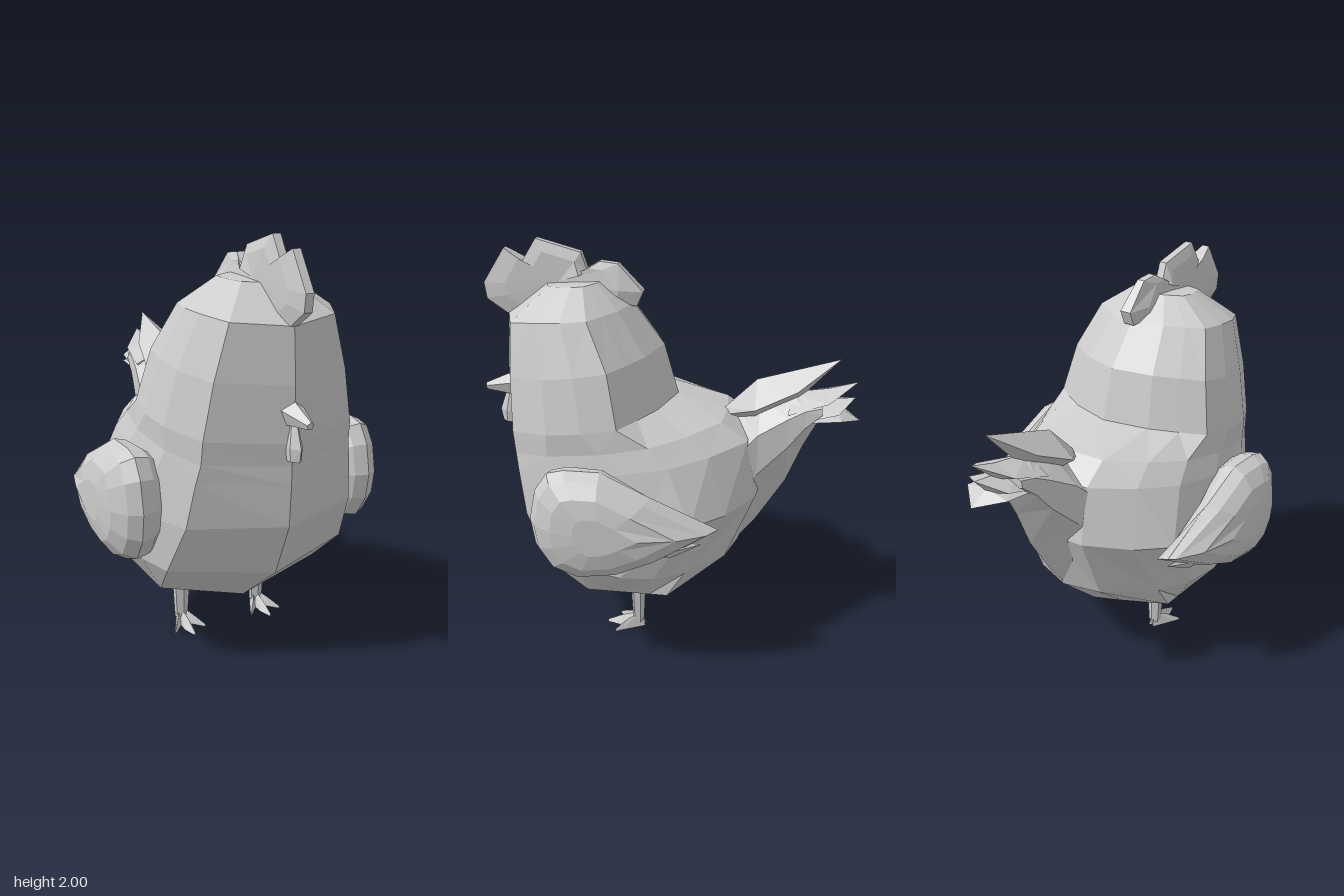
import * as THREE from 'three';

const plumage = new THREE.MeshStandardMaterial({ color: 0xcccccc });
plumage.name = 'pale grey';

// Faceted closed surface through rings of [x, y, z] points; always faces outward
function loft(rings) {
  const tris = [], n = rings[0].length;
  const centre = r => [0, 1, 2].map(k => r.reduce((s, p) => s + p[k], 0) / n);
  const first = rings[0], last = rings[rings.length - 1];
  const c0 = centre(first), c1 = centre(last);
  for (let j = 0; j < n; j++) {
    const k = (j + 1) % n;
    tris.push([c0, first[k], first[j]], [c1, last[j], last[k]]);
    for (let i = 0; i + 1 < rings.length; i++) {
      const a = rings[i], b = rings[i + 1];
      // Mirror the diagonals between the two halves
      if (j < n / 2) tris.push([a[j], a[k], b[j]], [a[k], b[k], b[j]]);
      else tris.push([a[j], a[k], b[k]], [a[j], b[k], b[j]]);
    }
  }
  const v = p => new THREE.Vector3(...p);
  let volume = 0;
  const kept = tris.map(t => t.map(v)).filter(([a, b, c]) => {
    volume += a.dot(b.clone().cross(c));
    return b.clone().sub(a).cross(c.clone().sub(a)).length() > 1e-7;
  });
  const points = kept.flatMap(([a, b, c]) => (volume < 0 ? [a, c, b] : [a, b, c]));
  return new THREE.BufferGeometry().setFromPoints(points);
}

function add(parent, name, geometry) {
  const g = geometry.index ? geometry.toNonIndexed() : geometry;
  g.computeVertexNormals();
  const mesh = new THREE.Mesh(g, plumage);
  mesh.name = name;
  parent.add(mesh);
  return mesh;
}

// Body and head: horizontal rings following a half-outline [width factor, front-to-back factor]
function bodyGeometry() {
  const whole = half => [...half, ...half.slice(1, -1).reverse().map(([x, t]) => [-x, t])];
  const head = whole([[0, 0], [0.77, 0.14], [0.97, 0.36], [1, 0.55], [0.95, 0.74], [0.72, 0.83], [0.46, 0.92], [0, 1]]);
  const shoulder = whole([[0, 0], [0.77, 0.11], [0.95, 0.27], [1, 0.5], [0.92, 0.7], [0.7, 0.85], [0.38, 0.985], [0, 1]]);
  const trunk = whole([[0, 0], [0.77, 0.125], [0.94, 0.28], [1, 0.6], [0.965, 0.765], [0.74, 0.88], [0.36, 0.985], [0, 1]]);
  const hip = whole([[0, 0], [0.84, 0.16], [0.95, 0.3], [1, 0.5], [0.93, 0.65], [0.76, 0.78], [0.35, 0.95], [0, 1]]);
  const belly = whole([[0, 0], [1, 0.08], [1, 0.2], [1, 0.45], [1, 0.68], [1, 0.85], [0.4, 0.95], [0, 1]]);
  // outline; y at front, side, back; z at front, back; half width
  const rows = [
    [head, 1.79, 1.8, 1.81, 0.6, 0.31, 0.16],
    [head, 1.63, 1.67, 1.7, 0.8, 0.17, 0.34],
    [head, 1.38, 1.42, 1.5, 0.82, 0.02, 0.43],
    [head, 1.12, 1.17, 1.25, 0.82, -0.05, 0.49],
    [shoulder, 1.02, 1.07, 1.18, 0.81, -0.3, 0.495],
    [shoulder, 0.93, 0.98, 1.09, 0.81, -0.43, 0.52],
    [trunk, 0.73, 0.75, 0.8, 0.8, -0.48, 0.56],
    [hip, 0.46, 0.52, 0.44, 0.69, -0.37, 0.56],
  ];
  const rings = rows.map(([cols, yf, ys, yb, zf, zb, w]) => cols.map(([x, t]) => [
    x * w,
    t < 0.25 ? yf + (ys - yf) * t / 0.25 : ys + (yb - ys) * (t - 0.25) / 0.75,
    zf + (zb - zf) * t,
  ]));
  // Belly rises from a central keel
  rings.push(belly.map(([x, t]) => [x * 0.43, 0.22 + 0.11 * Math.abs(x), 0.39 - 0.52 * t]));
  rings.push(belly.map(([, t]) => [0, 0.22, 0.39 - 0.52 * t]));
  return loft(rings);
}

// Six-sided tail root and four-sided feathers
function tailRoot() {
  const rows = [[-0.2, 0.5, 1.12, 0.26], [-0.36, 0.44, 1.16, 0.24], [-0.46, 0.57, 1.25, 0.19],
    [-0.6, 0.8, 1.29, 0.155], [-0.68, 1, 1.29, 0.14], [-0.76, 1.16, 1.27, 0.13]];
  return loft(rows.map(([z, lo, hi, w]) => [[0, lo], [w, lo + (hi - lo) * 0.5], [w * 0.95, lo + (hi - lo) * 0.8],
    [0, hi], [-w * 0.95, lo + (hi - lo) * 0.8], [-w, lo + (hi - lo) * 0.5]].map(([x, y]) => [x, y, z])));
}
function feather(rows) {
  return loft(rows.map(([x, y, z, w, h]) => [[x, y - h, z], [x + w, y, z], [x, y + h, z], [x - w, y, z]]));
}

// Wing: a teardrop outline swelling outward and curling in at the tip
function wingGeometry(side) {
  const outline = [[0.57, 0.81], [0.54, 0.96], [0.48, 1.05], [0.4, 1.07], [0.23, 1.07], [0, 0.96], [-0.31, 0.785],
    [-0.05, 0.64], [0.15, 0.55], [0.35, 0.52], [0.48, 0.57], [0.55, 0.68]];
  const levels = [[0.49, 0.84], [0.53, 0.95], [0.6, 1], [0.66, 0.9], [0.71, 0.66], [0.73, 0.34]];
  return loft(levels.map(([x, s]) => outline.map(([z, y]) => {
    const zz = 0.22 + (z - 0.22) * s, yy = 0.8 + (y - 0.8) * s;
    const curl = x < 0.58 ? 0.2 * THREE.MathUtils.clamp(0.3 - zz, 0, 0.25) : -0.2 * Math.max(0, -zz);
    return [side * (x + curl), yy, zz];
  })));
}

// Comb: lobed outline with thin edges and a wider foot
function combGeometry() {
  const outline = [[0.8, 1.63], [0.9, 1.7], [0.91, 1.78], [0.8, 1.95], [0.71, 1.89], [0.64, 2], [0.42, 1.94],
    [0.39, 1.85], [0.33, 1.9], [0.24, 1.89], [0.12, 1.76], [0.15, 1.69], [0.3, 1.7], [0.6, 1.68]];
  const levels = [[-0.04, 0.72], [-0.02, 1], [0.02, 1], [0.04, 0.72]];
  return loft(levels.map(([x, s]) => outline.map(([z, y]) => {
    const yy = 1.79 + (y - 1.79) * s, zz = 0.52 + (z - 0.52) * s;
    const foot = zz < 0.68 && yy < 1.84 ? 1.5 : 1;
    return [x * foot, yy, zz];
  })));
}

export function createModel() {
  const model = new THREE.Group();
  model.name = 'hen';
  add(model, 'body', bodyGeometry());
  add(model, 'comb', combGeometry());

  // Face
  const beak = add(model, 'beak', new THREE.CylinderGeometry(0.018, 0.064, 0.16, 5)
    .rotateX(Math.PI / 2).rotateZ(Math.PI));
  beak.position.set(0, 1.245, 0.865);
  beak.rotation.x = 0.15;
  add(model, 'wattle', loft([[1.22, 0.82, 0.015, 0.02], [1.11, 0.84, 0.032, 0.04], [1.05, 0.84, 0.028, 0.03]]
    .map(([y, z, w, d]) => [[-w, y, z - d], [w, y, z - d], [w, y, z], [0, y, z + d], [-w, y, z]])));

  // Tail: feathers stacked one above another
  const tail = new THREE.Group();
  tail.name = 'tail';
  model.add(tail);
  add(tail, 'tailRoot', tailRoot());
  const feathers = [
    [[0, 1.15, -0.28, 0.02, 0.03], [0, 1.23, -0.44, 0.15, 0.11], [0, 1.32, -0.64, 0.11, 0.08], [0, 1.46, -0.84, 0, 0]],
    [[0, 1.21, -0.6, 0.14, 0.07], [0, 1.27, -0.79, 0.12, 0.04], [0, 1.35, -0.93, 0, 0]],
    [[0, 1.17, -0.64, 0.14, 0.06], [0, 1.22, -0.84, 0.125, 0.04], [0, 1.27, -0.92, 0, 0]],
    [[0, 1.17, -0.68, 0.13, 0.05], [0, 1.185, -0.85, 0.125, 0.025], [0, 1.15, -0.95, 0, 0]],
  ];
  for (const rows of feathers) add(tail, 'tailFeather', feather(rows));

  for (const side of [1, -1]) {
    const label = side > 0 ? 'left' : 'right';
    add(model, label + 'Wing', wingGeometry(side));
    add(model, label + 'WingFeather', feather([[side * 0.59, 0.69, 0.1, 0.05, 0.07],
      [side * 0.58, 0.69, -0.1, 0.03, 0.045], [side * 0.54, 0.7, -0.23, 0, 0]]));

    // Leg with three forward toes
    const leg = new THREE.Group();
    leg.name = label + 'Leg';
    leg.position.set(side * 0.22, 0, 0.13);
    model.add(leg);
    add(leg, 'shank', new THREE.CylinderGeometry(0.05, 0.034, 0.29, 6).scale(1, 1, 0.85).translate(0, 0.175, 0));
    for (const [x, z] of [[-0.085, 0.11], [0, 0.165], [0.085, 0.11]]) {
      const px = z * 0.13, pz = -x * 0.2;
      add(leg, 'toe', loft([
        [[-px, 0, -0.02 - pz], [px, 0, -0.02 + pz], [0, 0.08, -0.02]],
        [[x * 0.6 - 0.025, 0, z * 0.6 - x * 0.2], [x * 0.6 + 0.025, 0, z * 0.6 + x * 0.2], [x * 0.5, 0.05, z * 0.5]],
        [[x - 0.006, 0, z], [x + 0.006, 0, z], [x, 0.012, z]],
      ]));
    }
  }
  return model;
}
